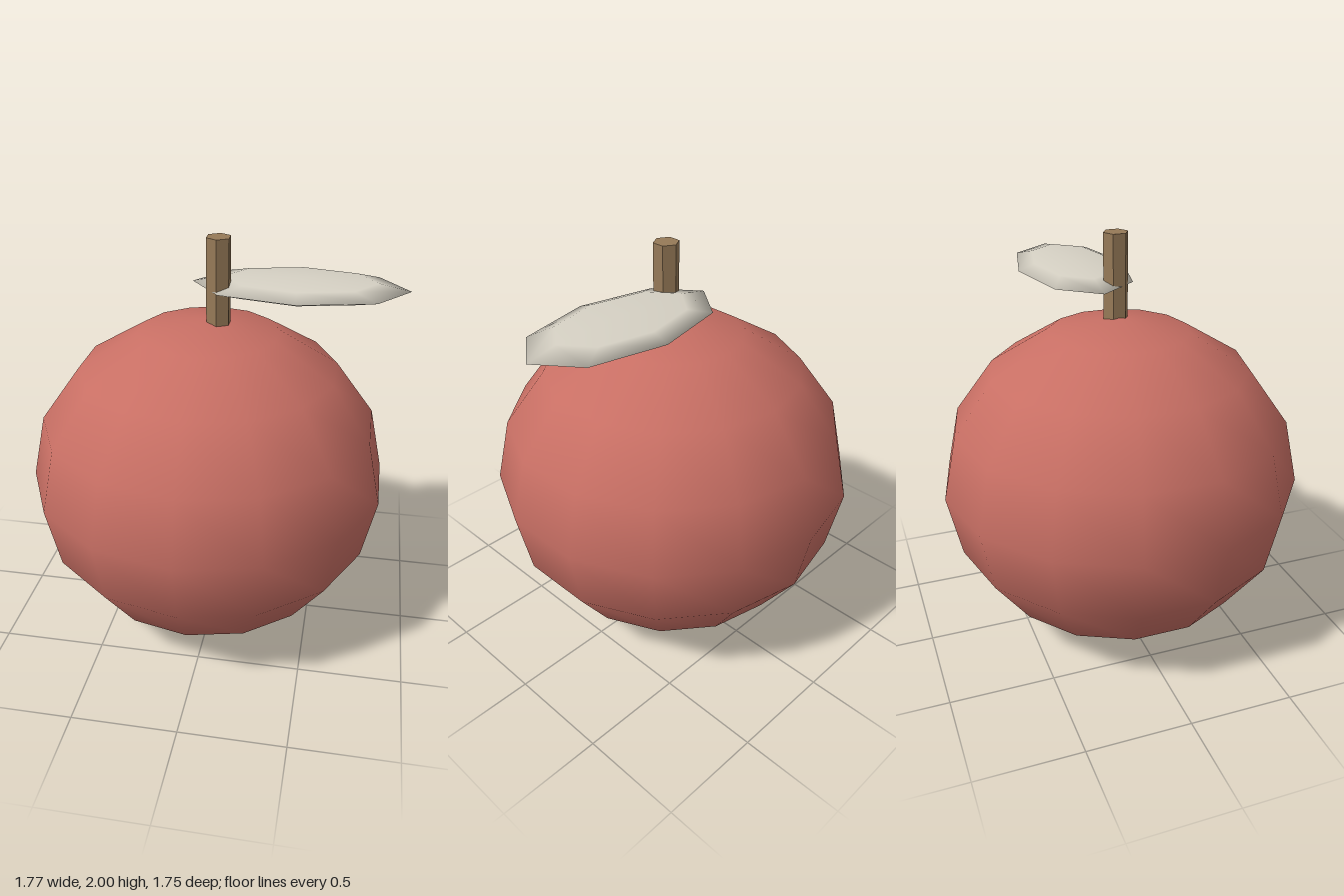
import * as THREE from 'three';

const material = (name, color, flatShading = false) => {
  const m = new THREE.MeshStandardMaterial({ color, flatShading });
  m.name = name;
  return m;
};

export function createModel() {
  const model = new THREE.Group();
  model.name = 'apple';

  const add = (name, geometry, mat, x, y, z) => {
    const mesh = new THREE.Mesh(geometry, mat);
    mesh.name = name;
    mesh.position.set(x, y, z);
    model.add(mesh);
    return mesh;
  };

  // Fruit: slightly squashed low-poly ball with corners at front and back
  const fruit = new THREE.SphereGeometry(0.875, 14, 8);
  fruit.rotateY(Math.PI / 2).scale(1, 0.92, 1);
  add('fruit', fruit, material('appleRed', 0xc86f64), -0.034, 0.805, 0);

  // Stem: hexagonal peg standing on the fruit
  const stem = new THREE.CylinderGeometry(0.06, 0.06, 0.405, 6);
  add('stem', stem, material('stemBrown', 0x967a58, true), 0.013, 1.7975, 0);

  // Leaf: flattened eight-sided ellipsoid beside the stem
  const leaf = new THREE.SphereGeometry(1, 8, 4).scale(0.505, 0.044, 0.268);
  add('leaf', leaf, material('leafCream', 0xd6d1c4), 0.378, 1.759, -0.101).rotation.z = 0.005;

  return model;
}
